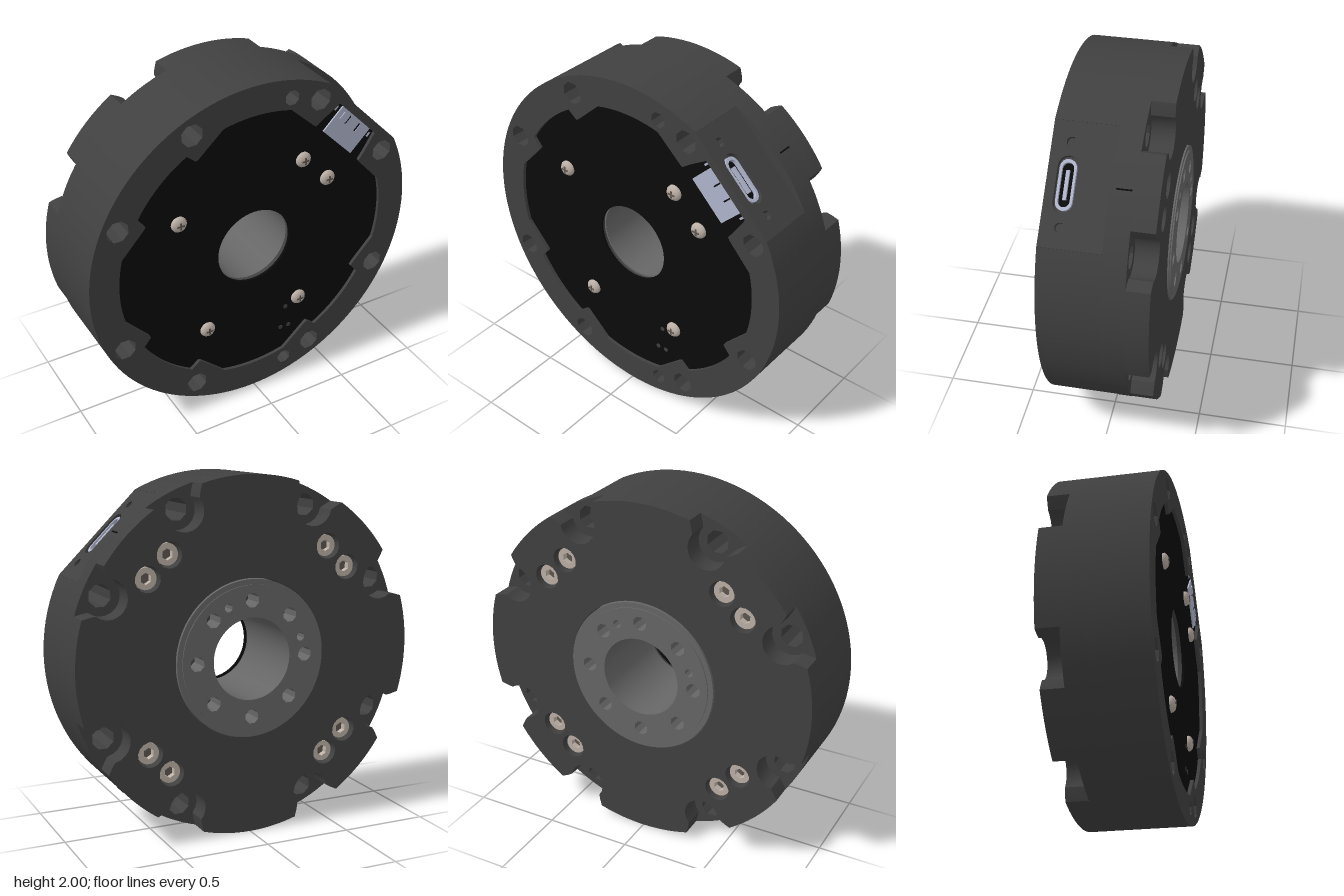
import * as THREE from 'three';
import { toCreasedNormals } from 'three/addons/utils/BufferGeometryUtils.js';

const RAD = Math.PI / 180;
const polar = (deg, r) => new THREE.Vector2(r * Math.cos(deg * RAD), r * Math.sin(deg * RAD));
// point given as radial u and tangential v about a direction
const local = (deg, u, v) => new THREE.Vector2(u, v).rotateAround(new THREE.Vector2(), deg * RAD);

function arc(from, to, r, step = 3) {
  const n = Math.max(2, Math.ceil((to - from) / step));
  return Array.from({ length: n + 1 }, (_, i) => polar(from + (to - from) * i / n, r));
}

function ringPoints(x, y, r, n) {
  return Array.from({ length: n }, (_, i) => polar((i + 0.5) * 360 / n, r).add(new THREE.Vector2(x, y)));
}

const circleHole = (x, y, r, n = 8) => new THREE.Path(ringPoints(x, y, r, n));
const polarHole = (deg, d, r, n) => { const p = polar(deg, d); return circleHole(p.x, p.y, r, n); };

// rounded slot outline, centred on (0, cy)
function slotPoints(half, r, cy) {
  const pts = [];
  for (const [cx, a0] of [[half - r, -90], [r - half, 90]]) {
    for (let i = 0; i <= 8; i++) pts.push(polar(a0 + i * 22.5, r).add(new THREE.Vector2(cx, cy)));
  }
  return pts;
}

function slab(points, holes, z0, z1) {
  const shape = new THREE.Shape(points);
  shape.holes.push(...holes);
  const g = new THREE.ExtrudeGeometry(shape, { depth: z1 - z0, bevelEnabled: false });
  g.translate(0, 0, z0);
  return toCreasedNormals(g, 0.4);
}

export function createModel() {
  const mat = (name, color) => Object.assign(new THREE.MeshStandardMaterial({ color }), { name });
  const housing = mat('dark housing', 0x404040);
  const black = mat('black board', 0x0a0a0a);
  const hubGrey = mat('grey hub', 0x666666);
  const steel = mat('warm steel', 0xbcb0a6);
  const recess = mat('recess shade', 0x5e5650);
  const shell = mat('connector metal', 0xb0b5cc);

  const model = new THREE.Group();
  model.name = 'actuator';
  const body = new THREE.Group();
  body.name = 'body';
  body.position.y = 1;
  model.add(body);
  const add = (name, geo, material, parent = body) => {
    const m = new THREE.Mesh(geo, material);
    m.name = name;
    parent.add(m);
    return m;
  };

  // mounting hole directions, paired about the diagonals
  const mounts = [];
  for (let q = 0; q < 4; q++) mounts.push(q * 90 + 25.2, q * 90 + 64.8);
  const mountHoles = () => mounts.map(a => polarHole(a, 0.904, 0.064));
  const pinHoles = () => [1, -1].map(s => circleHole(0.206, s * 0.875, 0.044));
  const circle = r => arc(0, 357, r);
  const bore = r => new THREE.Path(arc(0, 357, r));

  // back layer with open pockets round the mounting holes and screw bores
  const backOutline = [];
  mounts.forEach((a, i) => {
    backOutline.push(polar(a - 8.6, 1), local(a, 0.955, -0.122));
    for (let k = 0; k <= 12; k++) {
      const p = polar(-75 - k * 17.5, 0.108);
      backOutline.push(local(a, 0.9 + p.x, p.y));
    }
    backOutline.push(local(a, 0.955, 0.122));
    const next = i < 7 ? mounts[i + 1] : mounts[0] + 360;
    backOutline.push(...arc(a + 8.6, next - 8.6, 1).slice(0, -1));
  });
  const backScrews = [];
  for (let q = 0; q < 4; q++) backScrews.push(q * 90 + 38.5, q * 90 + 51.5);
  add('backHousing', slab(backOutline,
    [bore(0.445), ...backScrews.map(a => polarHole(a, 0.76, 0.072, 16))], -0.28, -0.155), housing);

  // middle layer
  add('middleHousing', slab(circle(1), [bore(0.24), ...mountHoles()], -0.155, -0.03), housing);

  // front layer and rim, cut back behind the port wall
  const cutOutline = () => [...arc(63.7, 386.3, 1), local(45, 0.917, -0.32), local(45, 0.917, 0.32)];
  add('frontHousing', slab(cutOutline(), [bore(0.24), ...mountHoles(), ...pinHoles()], -0.03, 0.27), housing);

  const boardOutline = [];
  for (let q = 0; q < 4; q++) {
    const b = q * 90;
    boardOutline.push(polar(b + 14.2, 0.83), polar(b + 27.4, 0.757), polar(b + 28.8, 0.756));
    if (q === 0) {
      boardOutline.push(polar(30.6, 0.81), local(45, 0.9, -0.175), local(45, 0.9, 0.175), polar(59.4, 0.81));
    } else {
      boardOutline.push(...arc(b + 30.6, b + 59.4, 0.82));
    }
    boardOutline.push(polar(b + 61.2, 0.756), polar(b + 62.6, 0.757));
    boardOutline.push(...arc(b + 75.8, b + 104.2, 0.83).slice(0, -1));
  }
  add('frontRim', slab(cutOutline(), [new THREE.Path(boardOutline), ...mountHoles(), ...pinHoles()], 0.27, 0.3), housing);
  add('circuitBoard', slab(boardOutline, [bore(0.228)], 0.265, 0.28), black);

  // small marks on the board
  for (const [x, y] of [[0.22, -0.51], [0.19, -0.655], [0.245, -0.655]]) {
    add('boardDot', slab(ringPoints(x, y, 0.014, 10), [], 0.28, 0.283), housing);
  }

  // output hub on the back
  const hubHoles = [];
  for (let i = 0; i < 8; i++) hubHoles.push(polarHole(i * 45, 0.325, 0.042));
  hubHoles.push(polarHole(64, 0.325, 0.024), polarHole(161.5, 0.315, 0.024));
  add('hubFace', slab(circle(0.41), [bore(0.23), ...hubHoles], -0.295, -0.16), hubGrey);
  add('hubShoulder', slab(circle(0.44), [bore(0.41)], -0.288, -0.16), hubGrey);
  add('hubTube', slab(circle(0.242), [bore(0.23)], -0.2, 0.24), hubGrey);

  // port side frame: x along the wall, y towards the front, z outwards
  const port = new THREE.Group();
  port.name = 'portSide';
  const c = Math.SQRT1_2;
  port.applyMatrix4(new THREE.Matrix4().makeBasis(
    new THREE.Vector3(-c, c, 0), new THREE.Vector3(0, 0, 1), new THREE.Vector3(c, c, 0)));
  body.add(port);
  const wall = [[-0.32, -0.03], [0.32, -0.03], [0.32, 0.3], [-0.32, 0.3]].map(p => new THREE.Vector2(...p));
  add('portWall', slab(wall, [new THREE.Path(slotPoints(0.145, 0.052, 0.2)),
    circleHole(0.215, 0.2, 0.026), circleHole(-0.215, 0.2, 0.026)], 0.917, 0.947), housing, port);
  add('portShell', slab(slotPoints(0.13, 0.043, 0.2),
    [new THREE.Path(slotPoints(0.112, 0.03, 0.2))], 0.91, 0.94), shell, port);
  add('portFloor', slab(slotPoints(0.112, 0.03, 0.2), [], 0.914, 0.919), black, port);
  add('portTongue', new THREE.BoxGeometry(0.15, 0.018, 0.03).translate(0, 0.2, 0.922), shell, port);

  // connector body seen through the board, with its tabs
  add('connector', new THREE.BoxGeometry(0.268, 0.03, 0.172).translate(0, 0.274, 0.814), shell, port);
  for (const s of [-1, 1]) {
    add('connectorTab', new THREE.BoxGeometry(0.05, 0.006, 0.045).translate(s * 0.075, 0.291, 0.86), shell, port);
    add('connectorSlot', new THREE.BoxGeometry(0.008, 0.004, 0.05).translate(s * 0.045, 0.29, 0.86), black, port);
    add('solderPad', new THREE.BoxGeometry(0.012, 0.004, 0.03).translate(s * 0.16, 0.281, 0.87), shell, port);
  }

  // index ticks on the outer wall
  for (const a of [45, -45]) {
    const tick = add('indexTick', new THREE.BoxGeometry(0.004, 0.008, 0.08), black);
    const p = polar(a, 1);
    tick.position.set(p.x, p.y, -0.1);
    tick.rotation.z = a * RAD;
  }

  // socket screws in the back bores
  for (const a of backScrews) {
    const p = polar(a, 0.76);
    const screw = new THREE.Group();
    screw.name = 'backScrew';
    screw.position.set(p.x, p.y, 0);
    body.add(screw);
    add('screwHead', slab(ringPoints(0, 0, 0.06, 20), [circleHole(0, 0, 0.032, 6)], -0.25, -0.16), steel, screw);
    add('socketFloor', slab(ringPoints(0, 0, 0.034, 6), [], -0.215, -0.16), recess, screw);
  }

  // domed cross-head screws on the board
  const dome = [[0.045, 0], [0.045, 0.01], [0.036, 0.022], [0.02, 0.029], [0, 0.031]].map(p => new THREE.Vector2(...p));
  for (const [x, y] of [[-0.465, 0.305], [0.3, 0.47], [0.465, 0.305], [-0.303, -0.465], [0.303, -0.465]]) {
    const screw = new THREE.Group();
    screw.name = 'boardScrew';
    screw.position.set(x, y, 0.28);
    body.add(screw);
    add('screwDome', new THREE.LatheGeometry(dome, 20).rotateX(Math.PI / 2), steel, screw);
    for (const [w, h] of [[0.042, 0.01], [0.01, 0.042]]) {
      add('crossSlot', new THREE.BoxGeometry(w, h, 0.006).translate(0, 0, 0.029), recess, screw);
    }
  }
  return model;
}
